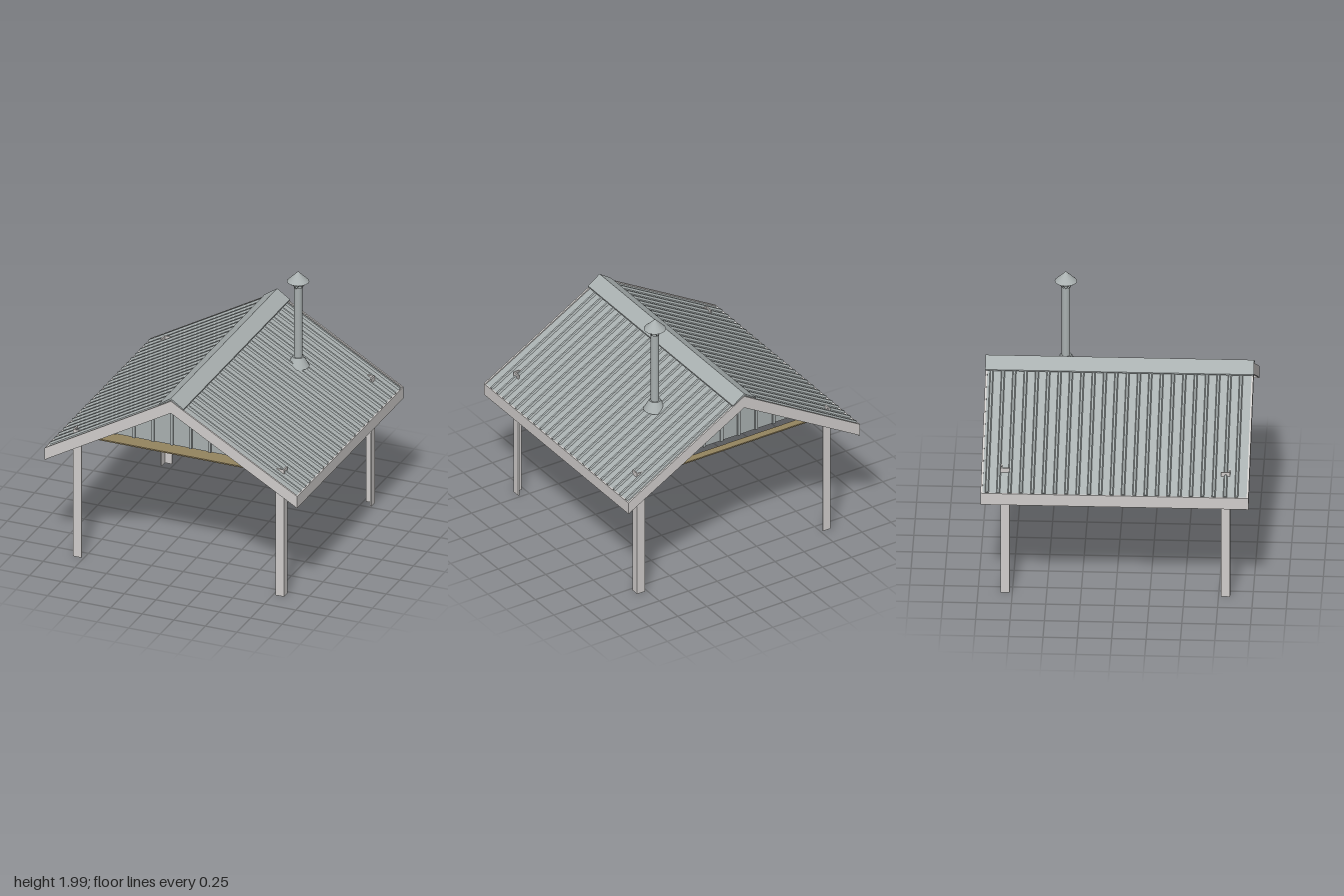
import * as THREE from 'three';

const mat = (name, color, side = THREE.FrontSide) => {
  const m = new THREE.MeshStandardMaterial({ color, side });
  m.name = name;
  return m;
};

export function createModel() {
  const steel = mat('galvanised steel', 0xa9b0b0, THREE.DoubleSide);
  const frame = mat('painted trim', 0xd0cdcb);
  const board = mat('ceiling board', 0x94845f);
  const dark = mat('dark trim', 0x4c4a48);

  const root = new THREE.Group();
  root.name = 'shelter';
  const add = (name, geo, material, x = 0, y = 0, z = 0) => {
    const m = new THREE.Mesh(geo, material);
    m.name = name;
    m.position.set(x, y, z);
    root.add(m);
    return m;
  };
  const box = (name, material, w, h, d, x, y, z) =>
    add(name, new THREE.BoxGeometry(w, h, d), material, x, y, z);
  const shape = (pts) => new THREE.Shape(pts.map(([x, y]) => new THREE.Vector2(x, y)));
  const extrude = (pts, depth) =>
    new THREE.ExtrudeGeometry(shape(pts), { depth, bevelEnabled: false });

  const SLOPE = 0.575, HALF_Z = 0.975;
  const angle = Math.atan(SLOPE), sin = Math.sin(angle), cos = Math.cos(angle);

  // Angle-iron posts, open towards the middle
  for (const sx of [-1, 1]) for (const sz of [-1, 1]) {
    const w = 0.066, t = 0.01, h = 1.03;
    const pts = [[0, 0], [w, 0], [w, t], [t, t], [t, w], [0, w]]
      .map(([a, b]) => [sx * (0.835 - a), sz * (0.835 - b)]);
    const post = add('cornerPost', extrude(pts, h), frame, 0, h, 0);
    post.rotation.x = Math.PI / 2;
  }

  // Ribbed roof sheets: section runs along the eave, extruded up the slope
  for (const s of [-1, 1]) {
    const top = [], ribs = 23, pitch = 0.0825;
    for (let i = 0; i < ribs; i++) {
      const z = -s * 0.022 + (i - (ribs - 1) / 2) * pitch;
      top.push([z - 0.014, 0], [z - 0.007, 0.014], [z + 0.007, 0.014], [z + 0.014, 0]);
    }
    const e = HALF_Z - 0.006;
    const geo = extrude([[-e, -0.006], [e, -0.006], [e, 0], ...top.reverse(), [-e, 0]], 0.96 / cos);
    geo.applyMatrix4(new THREE.Matrix4().makeBasis(
      new THREE.Vector3(0, 0, s),
      new THREE.Vector3(s * sin, cos, 0),
      new THREE.Vector3(-s * cos, sin, 0)));
    add('roofSheet', geo, steel, s * 0.99, 1.476 - SLOPE * 0.99, 0);

    // Eave fascia
    box('eaveFascia', frame, 0.012, 0.093, HALF_Z * 2, s * 0.994, 0.8625, 0);
  }

  // Ridge cap
  add('ridgeCap', extrude([[-0.1, 1.433], [-0.1, 1.442], [0, 1.51], [0.1, 1.442],
    [0.1, 1.433], [0, 1.495]], HALF_Z * 2 + 0.004), steel, 0, 0, -HALF_Z - 0.002);

  // Barge boards and ribbed gable walls at both ends
  const barge = [[-1, 0.815], [0, 1.39], [1, 0.815], [1, 0.91], [0.08, 1.44],
    [0, 1.488], [-0.08, 1.44], [-1, 0.91]];
  for (const s of [-1, 1]) {
    add('bargeBoard', extrude(barge, 0.014), frame, 0, 0, s * (HALF_Z - 0.007) - 0.007);
    add('gableWall', extrude([[-0.755, 1.03], [0.755, 1.03], [0, 1.464]], 0.008),
      steel, 0, 0, s * 0.775 - 0.004);
    for (let i = -4; i <= 3; i++) {
      const x = 0.075 + i * 0.15, h = 1.455 - SLOPE * Math.abs(x) - 1.03;
      box('gableRib', steel, 0.022, h, 0.014, x, 1.03 + h / 2, s * 0.784);
    }
  }

  // Ceiling panel with a separate back strip
  box('ceilingPanel', board, 1.46, 0.01, 1.43, 0, 0.952, 0.055);
  box('ceilingStrip', board, 1.46, 0.01, 0.06, 0, 0.952, -0.765);

  // Shallow square hatch under the ceiling
  const hatch = new THREE.CylinderGeometry(0.235, 0.15, 0.011, 4, 1);
  hatch.rotateY(Math.PI / 4);
  add('ceilingHatch', hatch, [dark, board, board], 0, 0.9415, 0);

  // Flue pipe, flashing, rain cap and its struts
  const fx = 0.41, fz = -0.41;
  add('fluePipe', new THREE.CylinderGeometry(0.031, 0.031, 0.908, 16, 1, true), steel, fx, 1.411, fz);
  add('flueFlashing', new THREE.CylinderGeometry(0.042, 0.085, 0.075, 16, 1, true), steel, fx, 1.2625, fz);
  add('flashingCollar', new THREE.RingGeometry(0.03, 0.042, 16).rotateX(-Math.PI / 2), steel, fx, 1.3, fz);
  add('capTop', new THREE.ConeGeometry(0.082, 0.08, 16, 1, true), steel, fx, 1.95, fz);
  add('capSkirt', new THREE.CylinderGeometry(0.082, 0.055, 0.018, 16, 1, true), steel, fx, 1.901, fz);
  const onRing = (r, a, y) => new THREE.Vector3(r * Math.cos(a), y, r * Math.sin(a));
  for (let i = 0; i < 4; i++) for (const s of [-1, 1]) {
    const a = i * Math.PI / 2;
    const path = new THREE.LineCurve3(onRing(0.031, a, 1.86), onRing(0.052, a + s * 0.6, 1.9));
    add('capStrut', new THREE.TubeGeometry(path, 1, 0.003, 5), steel, fx, 0, fz);
  }

  return root;
}
